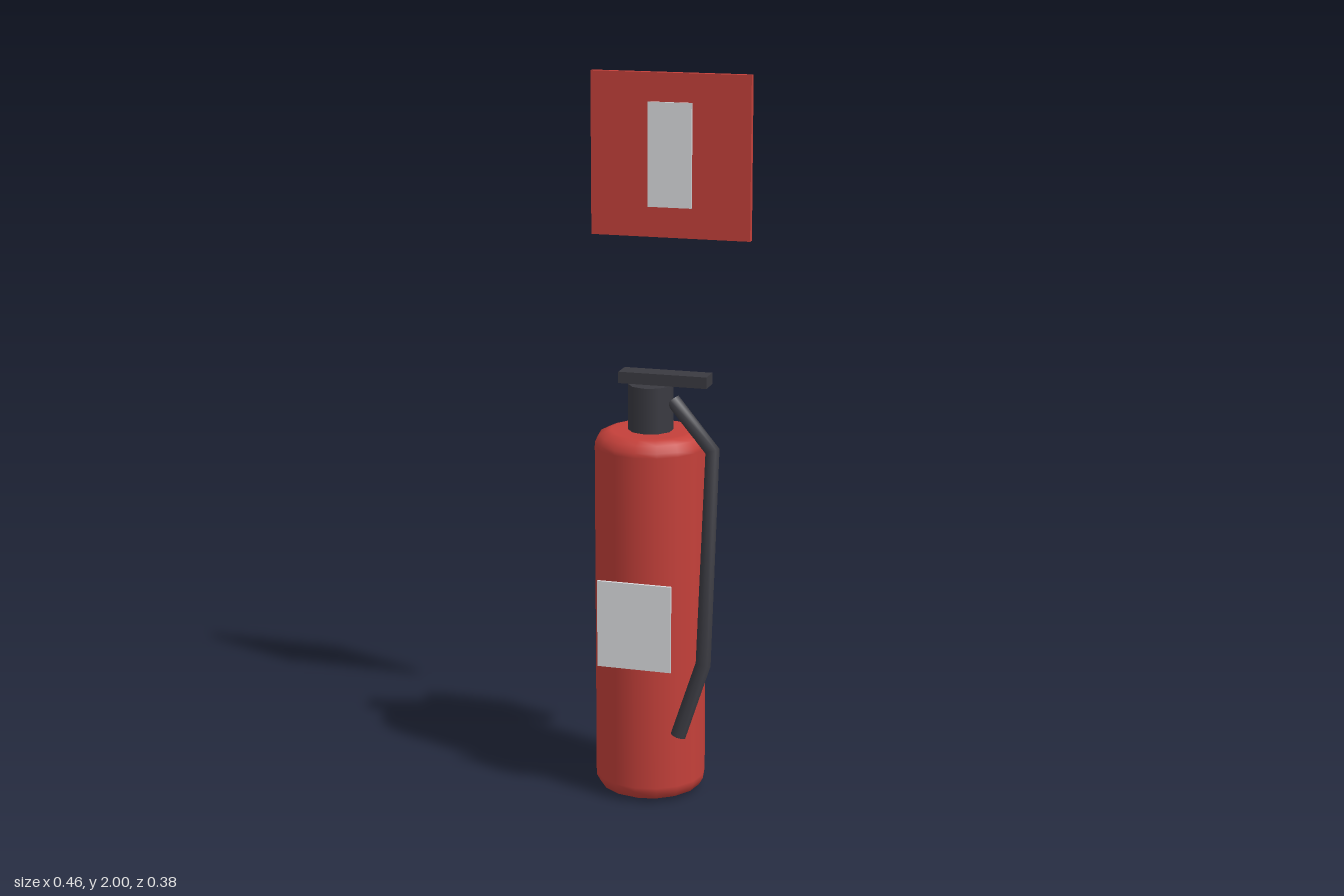
import * as THREE from 'three';

function material(name, color) {
  const m = new THREE.MeshStandardMaterial({ color });
  m.name = name;
  return m;
}

// Tube through straight segments with mitred corners and flat end caps
function bentTube(points, radius, sides) {
  const pos = [], index = [];
  const ref = new THREE.Vector3(0, 0, 1);
  const rings = points.map((p, i) => {
    const a = points[Math.max(i - 1, 0)], b = points[Math.min(i + 1, points.length - 1)];
    const dir = new THREE.Vector3();
    if (a !== p) dir.add(p.clone().sub(a).normalize());
    if (b !== p) dir.add(b.clone().sub(p).normalize());
    dir.normalize();
    const u = new THREE.Vector3().crossVectors(ref, dir).normalize();
    const v = new THREE.Vector3().crossVectors(dir, u);
    return Array.from({ length: sides }, (_, k) => {
      const t = (k / sides) * Math.PI * 2;
      return p.clone().addScaledVector(u, Math.cos(t) * radius).addScaledVector(v, Math.sin(t) * radius);
    });
  });
  rings.forEach((ring) => ring.forEach((q) => pos.push(q.x, q.y, q.z)));
  for (let i = 0; i < rings.length - 1; i++) {
    for (let k = 0; k < sides; k++) {
      const a = i * sides + k, b = i * sides + (k + 1) % sides;
      index.push(a, b, a + sides, b, b + sides, a + sides);
    }
  }
  // End caps use their own vertices so their rims stay sharp
  [rings[0], rings[rings.length - 1]].forEach((ring, end) => {
    const base = pos.length / 3;
    ring.forEach((q) => pos.push(q.x, q.y, q.z));
    for (let k = 1; k < sides - 1; k++) {
      if (end) index.push(base, base + k, base + k + 1);
      else index.push(base, base + k + 1, base + k);
    }
  });
  const g = new THREE.BufferGeometry();
  g.setAttribute('position', new THREE.Float32BufferAttribute(pos, 3));
  g.setIndex(index);
  g.computeVertexNormals();
  return g;
}

export function createModel() {
  const red = material('red paint', 0xc4403a);
  const dark = material('dark rubber', 0x3a3a41);
  const pale = material('pale grey', 0xdcdde0);
  const model = new THREE.Group();
  model.name = 'fireExtinguisher';

  const add = (name, geometry, mat, x = 0, y = 0, z = 0) => {
    const mesh = new THREE.Mesh(geometry, mat);
    mesh.name = name;
    mesh.position.set(x, y, z);
    model.add(mesh);
  };
  // Box from its lower and upper corners
  const box = (name, mat, [x0, y0, z0], [x1, y1, z1]) =>
    add(name, new THREE.BoxGeometry(x1 - x0, y1 - y0, z1 - z0), mat,
      (x0 + x1) / 2, (y0 + y1) / 2, (z0 + z1) / 2);

  const axisZ = 0.017;

  // Tank with rounded shoulders
  const profile = [
    [0, 0], [0.11, 0], [0.122, 0.002], [0.143, 0.012], [0.154, 0.032], [0.155, 0.045],
    [0.155, 1.0], [0.154, 1.013], [0.143, 1.032], [0.122, 1.042], [0.11, 1.044], [0, 1.044],
  ].map(([r, y]) => new THREE.Vector2(r, y));
  add('tank', new THREE.LatheGeometry(profile, 16), red, 0, 0, axisZ);

  // Valve neck and lever
  add('neck', new THREE.CylinderGeometry(0.0625, 0.0625, 0.14, 10), dark, 0, 1.102, axisZ);
  box('lever', dark, [-0.084, 1.175, -0.014], [0.166, 1.207, 0.047]);

  // Hose hanging down the left side
  const path = [
    [0.065, 1.13, 0.02], [0.187, 1.005, 0.057], [0.187, 0.42, 0.141], [0.123, 0.213, 0.166],
  ].map((p) => new THREE.Vector3(...p));
  add('hose', bentTube(path, 0.0215, 8), dark);

  // Label plate on the tank and bracket behind it
  box('label', pale, [-0.105, 0.4, 0.174], [0.105, 0.647, 0.182]);
  box('wallBracket', dark, [-0.125, 0.715, -0.19], [0.125, 0.96, -0.128]);

  // Wall sign with its pale panel
  box('sign', red, [-0.229, 1.545, -0.19], [0.229, 2, -0.17]);
  box('signPanel', pale, [-0.063, 1.63, -0.17], [0.063, 1.92, -0.163]);

  return model;
}
